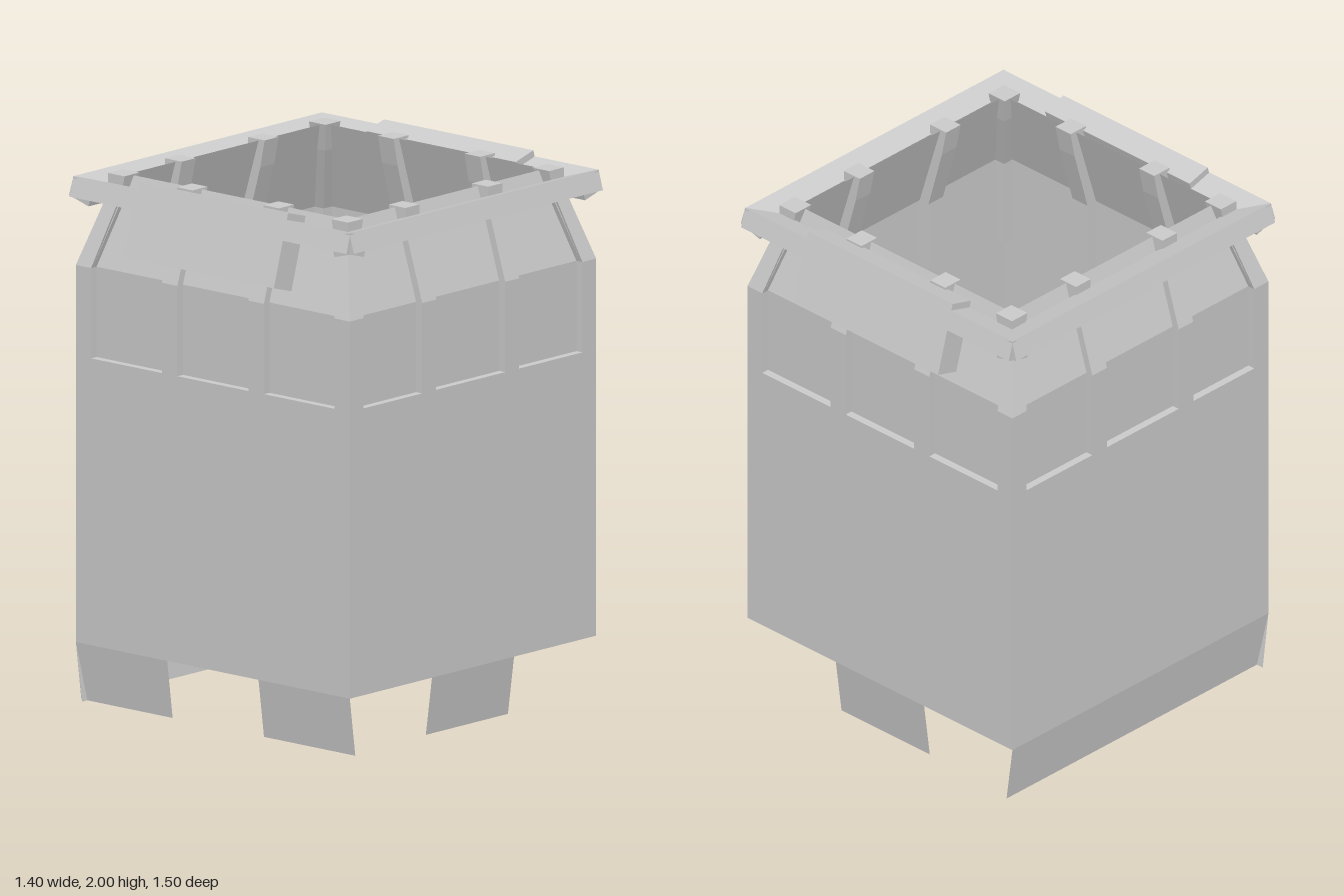
import * as THREE from 'three';

const HALF = 0.675;                       // half width of the square shaft
const ROWS = [                            // upper wall: height, outward distance, outer panel edge
  { y: 1.3, r: HALF, edge: 0.6 },
  { y: 1.64, r: HALF, edge: 0.6 },
  { y: 1.98, r: 0.57, edge: 0.511 },
];
const POST = [                            // inner posts: height, inner and outer distance
  { y: 1.3, a: 0.6, b: 0.665 },
  { y: 1.64, a: 0.6, b: 0.665 },
  { y: 1.88, a: 0.532, b: 0.592 },
  { y: 1.985, a: 0.51, b: 0.592 },
];
const RECESS = 0.03;
const TILT = 0.28;

// Flat-shaded geometry from quads, corners counter-clockwise
function quads(list) {
  const p = [];
  for (const [a, b, c, d] of list) p.push(...a, ...b, ...c, ...a, ...c, ...d);
  const g = new THREE.BufferGeometry();
  g.setAttribute('position', new THREE.Float32BufferAttribute(p, 3));
  g.computeVertexNormals();
  return g;
}

// Vertical strip between two edge functions, following the bend of the wall
function strip(left, right, inset) {
  const out = [];
  for (let i = 0; i < ROWS.length - 1; i++) {
    const s = ROWS[i], t = ROWS[i + 1];
    out.push([
      [left(s), s.y, s.r - inset], [right(s), s.y, s.r - inset],
      [right(t), t.y, t.r - inset], [left(t), t.y, t.r - inset],
    ]);
  }
  return out;
}

// Side wall of a recess; dir is +1 on the left of a panel, -1 on the right
function reveal(edge, dir) {
  const out = [];
  for (let i = 0; i < ROWS.length - 1; i++) {
    const s = ROWS[i], t = ROWS[i + 1];
    const q = [
      [edge(s), s.y, s.r], [edge(s), s.y, s.r - RECESS],
      [edge(t), t.y, t.r - RECESS], [edge(t), t.y, t.r],
    ];
    out.push(dir > 0 ? q : q.reverse());
  }
  return out;
}

// Bent post: a box whose rows are moved onto the post profile
function post(xRange, zRange) {
  const g = new THREE.BoxGeometry(1, 1, 1, 1, POST.length - 1, 1);
  const p = g.attributes.position;
  for (let i = 0; i < p.count; i++) {
    const row = POST[Math.round((p.getY(i) + 0.5) * (POST.length - 1))];
    const [x0, x1] = xRange(row), [z0, z1] = zRange(row);
    p.setXYZ(i, p.getX(i) < 0 ? x0 : x1, row.y, p.getZ(i) < 0 ? z0 : z1);
  }
  const flat = g.toNonIndexed();
  flat.computeVertexNormals();
  return flat;
}

export function createModel() {
  const model = new THREE.Group();
  model.name = 'towerSection';
  const grey = new THREE.MeshStandardMaterial({ color: 0xcccccc, side: THREE.DoubleSide });
  grey.name = 'plain grey';

  const add = (parent, name, geometry) => {
    const mesh = new THREE.Mesh(geometry, grey);
    mesh.name = name;
    parent.add(mesh);
    return mesh;
  };

  const third = 0.225;
  const sides = [
    { name: 'front', turn: 0, ribs: [-0.213, 0.213], flaps: [[-HALF, -third], [third, HALF]], plate: true },
    { name: 'left', turn: Math.PI / 2, ribs: [-0.24, 0.215], flaps: [[-third, third]] },
    { name: 'back', turn: Math.PI, ribs: [-0.213, 0.213], flaps: [[-third, third]], plate: true },
    { name: 'right', turn: -Math.PI / 2, ribs: [-0.215, 0.24], flaps: [[-HALF, HALF]] },
  ];

  for (const side of sides) {
    const group = new THREE.Group();
    group.name = side.name + 'Side';
    group.rotation.y = side.turn;
    model.add(group);

    // Plain lower wall
    add(group, 'lowerWall', quads([[
      [-HALF, 0.22, HALF], [HALF, 0.22, HALF], [HALF, 1.3, HALF], [-HALF, 1.3, HALF],
    ]]));

    // Flaps below the wall, leaning slightly inward
    for (const [a, b] of side.flaps) {
      add(group, 'bottomFlap', quads([[
        [a, 0, HALF - 0.03], [b, 0, HALF - 0.03], [b, 0.22, HALF], [a, 0.22, HALF],
      ]]));
    }

    // Panel edges from left to right, with pillars between them
    const at = (u) => () => u;
    const w = 0.0385;
    const [m, n] = side.ribs;
    const edges = [
      (s) => -s.edge, at(m - w), at(m + w), at(n - w), at(n + w), (s) => s.edge,
    ];
    const bounds = [(s) => -s.r, ...edges, (s) => s.r];
    for (let i = 0; i < bounds.length; i += 2) {
      add(group, 'pillar', quads(strip(bounds[i], bounds[i + 1], 0)));
    }

    // Recessed panels with side reveals and a bottom ledge
    for (let i = 0; i < edges.length; i += 2) {
      const l = edges[i], r = edges[i + 1], s = ROWS[0];
      add(group, 'recessedPanel', quads([
        ...strip(l, r, RECESS), ...reveal(l, 1), ...reveal(r, -1),
        [[l(s), s.y, s.r], [r(s), s.y, s.r], [r(s), s.y, s.r - RECESS], [l(s), s.y, s.r - RECESS]],
      ]));
    }

    // Inner posts behind the pillars, plus one at the corner
    const depth = (row) => [row.a, row.b];
    for (const u of side.ribs) add(group, 'innerPost', post(() => [u - w, u + w], depth));
    add(group, 'cornerPost', post(depth, depth));

    // Leaning rim beam
    const rim = add(group, 'rimBeam', new THREE.BoxGeometry(1.365, 0.078, 0.1));
    rim.position.set(0, 1.924, 0.643);
    rim.rotation.x = -TILT;

    // Leaning plate over the rim
    if (side.plate) {
      const plate = add(group, 'rimPlate', new THREE.BoxGeometry(0.736, 0.281, 0.1));
      plate.position.set(0, 1.851, 0.663);
      plate.rotation.x = -TILT;
    }
  }
  return model;
}
